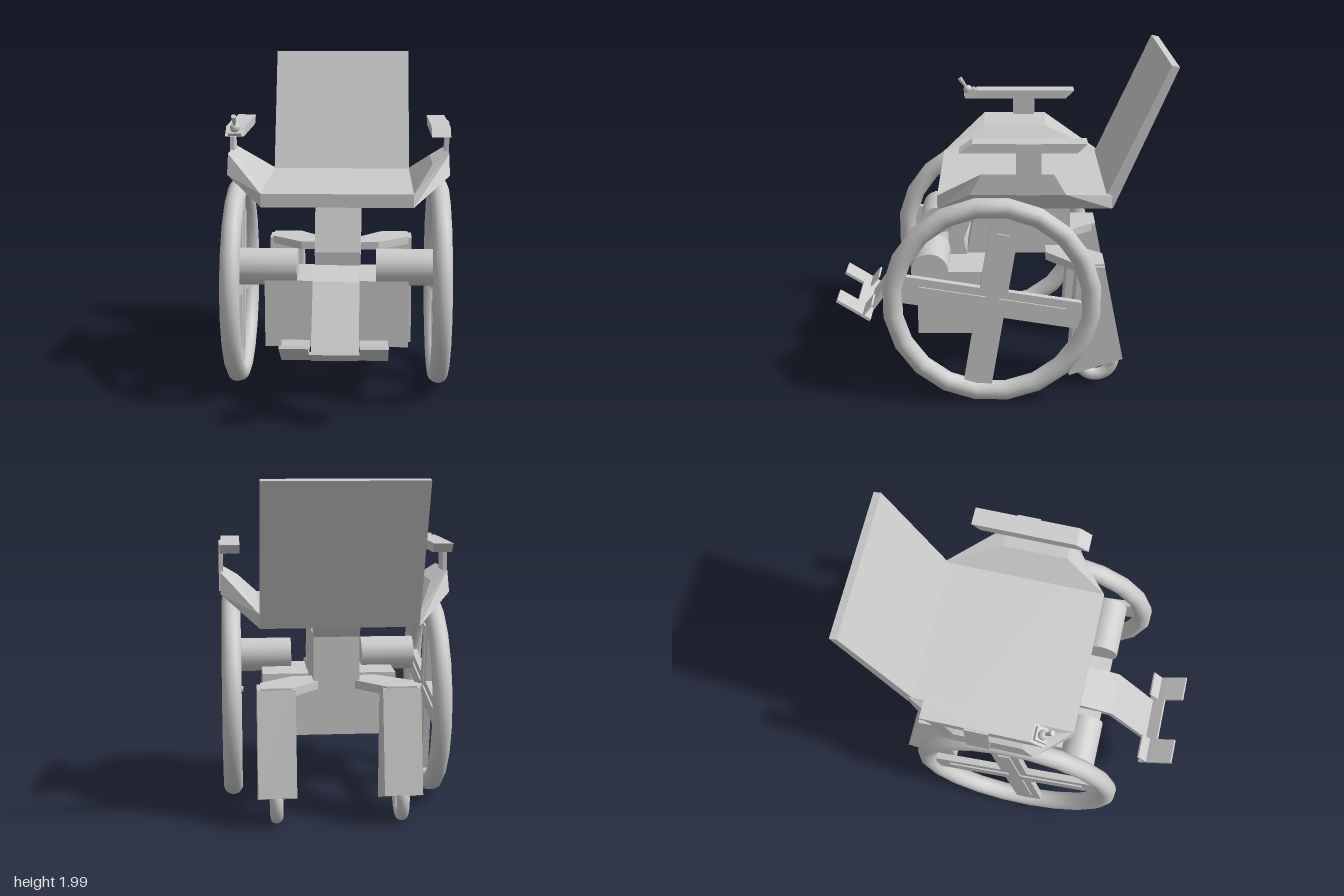
import * as THREE from 'three';

const material = new THREE.MeshStandardMaterial({ color: 0xcccccc, side: THREE.DoubleSide });

function add(parent, name, geometry, x = 0, y = 0, z = 0) {
  const mesh = new THREE.Mesh(geometry, material);
  mesh.name = name;
  mesh.position.set(x, y, z);
  parent.add(mesh);
  return mesh;
}

function extrude(points, depth) {
  const shape = new THREE.Shape(points.map(([a, b]) => new THREE.Vector2(a, b)));
  return new THREE.ExtrudeGeometry(shape, { depth, bevelEnabled: false });
}

// Side profile given as [z, y], extruded from x0 to x1
function prism(points, x0, x1) {
  return extrude(points, x1 - x0).rotateY(-Math.PI / 2).translate(x1, 0, 0);
}

// Strip of constant thickness between two [z, y] points, lying to one side of the line
function strip([z0, y0], [z1, y1], t, x0, x1) {
  const l = Math.hypot(z1 - z0, y1 - y0);
  const dz = (-(y1 - y0) / l) * t, dy = ((z1 - z0) / l) * t;
  return prism([[z0, y0], [z1, y1], [z1 + dz, y1 + dy], [z0 + dz, y0 + dy]], x0, x1);
}

// Plus-shaped outline with arms of length l and half width w
function cross(l, w, depth) {
  return extrude([[w, w], [l, w], [l, -w], [w, -w], [w, -l], [-w, -l],
    [-w, -w], [-l, -w], [-l, w], [-w, w], [-w, l], [w, l]], depth);
}

// Seat pan: closed cross-sections from front to back, the sides folding up in the middle
function seatGeometry() {
  const end = (z) => [[0.45, 1.24, z], [0.45, 1.24, z], [0.45, 1.24, z],
    [0.45, 1.16, z], [0.45, 1.16, z], [0.45, 1.16, z]];
  const middle = (zTop, zBottom) => [[0.45, 1.24, zTop], [0.57, 1.38, zTop], [0.67, 1.44, zTop],
    [0.67, 1.32, zBottom], [0.57, 1.32, zBottom], [0.45, 1.16, zBottom]];
  const sections = [end(0.36), middle(0.1, 0.165), middle(-0.3, -0.37), end(-0.65)]
    .map((half) => [...half, ...half.map(([x, y, z]) => [-x, y, z]).reverse()]);
  const n = sections[0].length, index = [];
  for (let s = 0; s < sections.length - 1; s++) {
    for (let i = 0; i < n; i++) {
      const a = s * n + i, b = s * n + (i + 1) % n;
      index.push(a, a + n, b, b, a + n, b + n);
    }
  }
  // Front and back edges
  const last = (sections.length - 1) * n;
  index.push(0, 5, 6, 0, 6, 11, last, last + 6, last + 5, last, last + 11, last + 6);
  const indexed = new THREE.BufferGeometry();
  indexed.setAttribute('position', new THREE.Float32BufferAttribute(sections.flat(2), 3));
  indexed.setIndex(index);
  const geometry = indexed.toNonIndexed();
  geometry.computeVertexNormals();
  return geometry;
}

export function createModel() {
  const model = new THREE.Group();
  model.name = 'poweredWheelchair';

  // Seat and reclined back
  add(model, 'seat', seatGeometry());
  add(model, 'backrest', prism([[-0.61, 1.22], [-0.655, 1.16], [-1, 1.99], [-0.955, 2]], -0.45, 0.45));

  // Central body, rear seat bracket and battery box
  add(model, 'body', prism([[0.2, 0.76], [0.14, 1.08], [-0.43, 1.08], [-0.43, 0.76]], -0.135, 0.135));
  add(model, 'seatBracket', prism([[-0.33, 1.07], [-0.43, 1.07], [-0.53, 1.2], [-0.43, 1.2]], -0.135, 0.135));
  add(model, 'batteryBox', new THREE.BoxGeometry(0.84, 0.4, 0.41), 0, 0.55, 0.285);

  // Folded leg support: down from the seat, forward, then down to the feet
  add(model, 'legSupport', prism([[0.2, 1.2], [0.315, 0.88], [0.31, 0.8], [0.555, 0.76], [0.82, 0.385],
    [0.795, 0.365], [0.54, 0.72], [0.2, 0.75], [0.22, 0.85], [0.09, 1.2]], -0.135, 0.135));

  // Footrest with a toe plate and heel stop on either side
  const footrest = new THREE.Group();
  footrest.name = 'footrest';
  model.add(footrest);
  add(footrest, 'footPlate', strip([0.8, 0.37], [0.89, 0.43], 0.018, -0.3, 0.3));
  for (const x of [-0.3, 0.14]) {
    add(footrest, 'toePlate', strip([0.89, 0.43], [1, 0.5], 0.018, x, x + 0.16));
    add(footrest, 'heelStop', strip([0.85, 0.405], [0.785, 0.485], 0.012, x, x + 0.16));
  }

  for (const side of [-1, 1]) {
    const word = side < 0 ? 'right' : 'left';
    const group = new THREE.Group();
    group.name = word + 'Side';
    model.add(group);
    // Prism placed on this side, from inner to outer x
    const sidePrism = (name, points, inner, outer) =>
      add(group, name, prism(points, Math.min(side * inner, side * outer), Math.max(side * inner, side * outer)));

    // Large wheel, its cross spokes tilted slightly
    const wheel = new THREE.Group();
    wheel.name = 'driveWheel';
    wheel.position.set(side * 0.612, 0.645, 0.045);
    wheel.rotation.x = -0.16;
    group.add(wheel);
    add(wheel, 'tyre', new THREE.TorusGeometry(0.582, 0.058, 14, 20).rotateY(Math.PI / 2));
    add(wheel, 'spokes', cross(0.56, 0.083, 0.04).translate(0, 0, -0.02).rotateY(Math.PI / 2));
    add(wheel, 'spokeRibs', cross(0.43, 0.035, 0.06).translate(0, 0, -0.03).rotateY(Math.PI / 2));
    add(wheel, 'axleBolt', new THREE.CylinderGeometry(0.018, 0.018, 0.06, 12).rotateZ(Math.PI / 2), -side * 0.04, 0.02, 0);

    // Motor
    add(group, 'motor', new THREE.CylinderGeometry(0.108, 0.108, 0.34, 24).rotateZ(Math.PI / 2),
      side * 0.4, 0.815, 0.405);

    // Rear caster with its arm and housing
    add(group, 'casterArm', extrude([[0.1, 0.28], [0.25, 0.28], [0.45, 0.46], [0.45, 0.62], [0.27, 0.62], [0.1, 0.42]]
      .map(([x, z]) => [side * x, z]), 0.05).rotateX(-Math.PI / 2), 0, 0.76, 0);
    sidePrism('casterHousing', [[-0.46, 0.8], [-0.62, 0.8], [-0.745, 0.2], [-0.42, 0.09]], 0.25, 0.47);
    add(group, 'casterWheel', new THREE.TorusGeometry(0.108, 0.037, 12, 28).rotateY(Math.PI / 2),
      side * 0.363, 0.152, -0.59);

    // Armrest on a flat post
    sidePrism('armrest', [[0.15, 1.615], [0.225, 1.56], [-0.43, 1.56], [-0.485, 1.615]], 0.557, 0.67);
    sidePrism('armrestPost', [[-0.09, 1.32], [-0.09, 1.61], [-0.23, 1.61], [-0.23, 1.32]], 0.655, 0.68);
  }

  // Joystick on the right armrest
  const joystick = new THREE.Group();
  joystick.name = 'joystick';
  joystick.position.set(-0.612, 1.593, 0.195);
  joystick.rotation.x = 0.62;
  model.add(joystick);
  add(joystick, 'joystickPanel', new THREE.BoxGeometry(0.08, 0.02, 0.08));
  add(joystick, 'joystickBall', new THREE.SphereGeometry(0.03, 16, 12), 0, 0.02, 0);
  add(joystick, 'joystickStick', new THREE.CylinderGeometry(0.016, 0.008, 0.075, 12), 0, 0.075, 0);

  return model;
}
